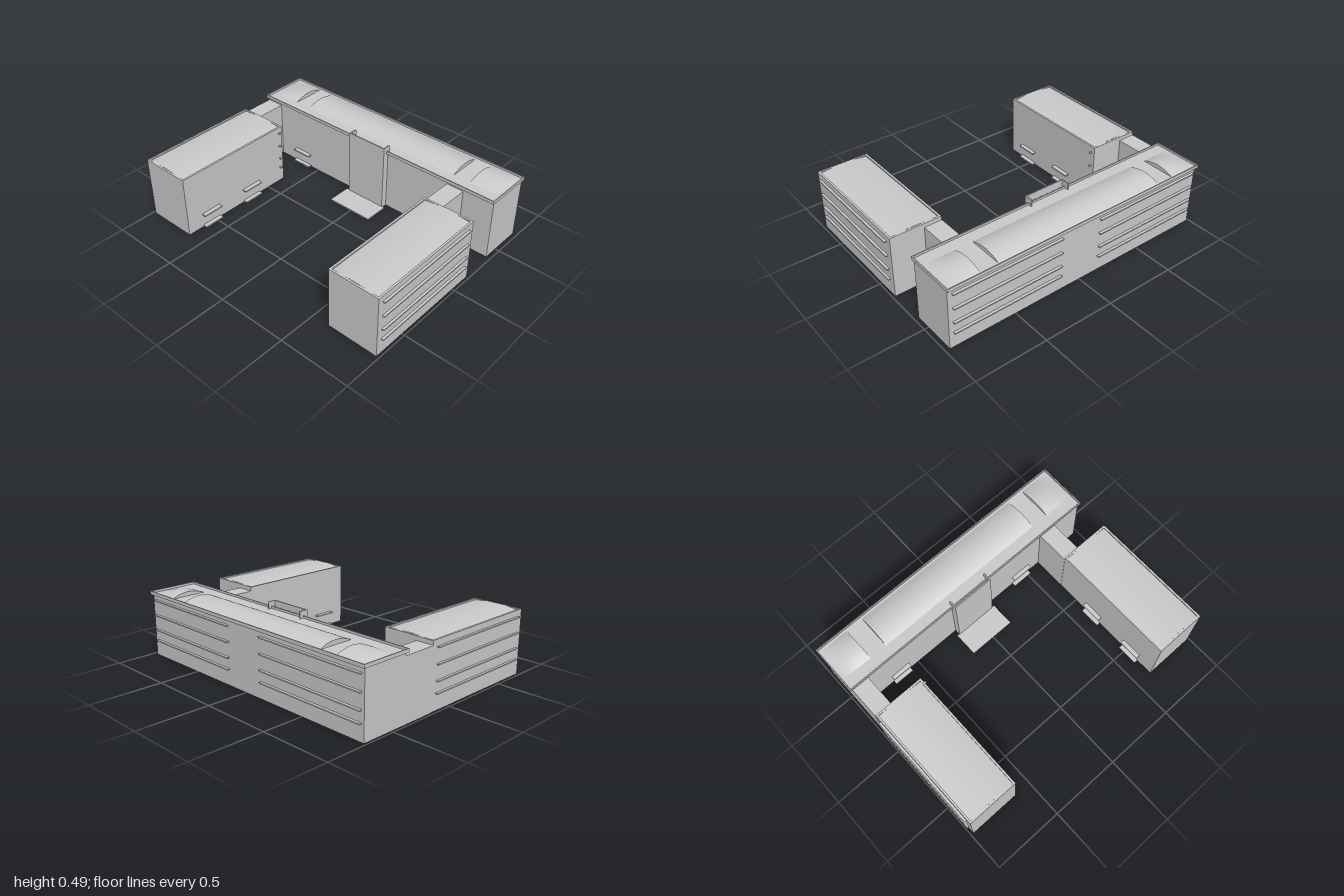
import * as THREE from 'three';

const material = new THREE.MeshStandardMaterial({ color: 0xcccccc, side: THREE.DoubleSide });

function add(parent, name, geometry) {
  const mesh = new THREE.Mesh(geometry, material);
  mesh.name = name;
  parent.add(mesh);
  return mesh;
}

// Box given by its limits on each axis
function block(parent, name, [x0, x1], [y0, y1], [z0, z1]) {
  const geo = new THREE.BoxGeometry(x1 - x0, y1 - y0, z1 - z0);
  geo.translate((x0 + x1) / 2, (y0 + y1) / 2, (z0 + z1) / 2);
  return add(parent, name, geo);
}

// Box without a floor, for the hollow wall blocks
function shell(parent, name, x, height, z) {
  const mesh = block(parent, name, x, [0, height], z);
  const index = Array.from(mesh.geometry.index.array);
  index.splice(18, 6);
  mesh.geometry.setIndex(index);
  mesh.geometry.clearGroups();
}

function rectangle(path, x0, x1, z0, z1) {
  path.moveTo(x0, -z0);
  path.lineTo(x1, -z0);
  path.lineTo(x1, -z1);
  path.lineTo(x0, -z1);
  path.closePath();
  return path;
}

// Flat roof slab with a raised rim around it
function roofTray(parent, [x0, x1], [z0, z1], bottom, floor, top, rim) {
  block(parent, 'roofSlab', [x0 + rim, x1 - rim], [bottom, floor], [z0 + rim, z1 - rim]);
  const shape = rectangle(new THREE.Shape(), x0, x1, z0, z1);
  shape.holes.push(rectangle(new THREE.Path(), x0 + rim, x1 - rim, z0 + rim, z1 - rim));
  const geo = new THREE.ExtrudeGeometry(shape, { depth: top - bottom, bevelEnabled: false });
  geo.rotateX(-Math.PI / 2);
  geo.translate(0, bottom, 0);
  add(parent, 'roofRim', geo);
}

// Flat patch lifted to height(x, z)
function liftedPatch(parent, name, [x0, x1], [z0, z1], nx, nz, height) {
  const geo = new THREE.PlaneGeometry(x1 - x0, z1 - z0, nx, nz);
  geo.rotateX(-Math.PI / 2);
  geo.translate((x0 + x1) / 2, 0, (z0 + z1) / 2);
  const p = geo.attributes.position;
  for (let i = 0; i < p.count; i++) p.setY(i, height(p.getX(i), p.getZ(i)));
  geo.computeVertexNormals();
  return add(parent, name, geo);
}

const railHeights = [0.11, 0.187, 0.29, 0.395];
const ledgeHeights = [0.008, 0.1];

function mainBlock() {
  const g = new THREE.Group();
  g.name = 'mainBlock';
  shell(g, 'mainWalls', [-0.985, 0.97], 0.432, [-0.717, -0.395]);
  roofTray(g, [-0.997, 0.977], [-0.735, -0.38], 0.432, 0.44, 0.455, 0.007);

  // Vaulted roof, split by two notches, with hipped ends
  const z0 = -0.715, z1 = -0.465, base = 0.439, rise = 0.03;
  const arch = z => {
    const t = (z - (z0 + z1) / 2) / ((z1 - z0) / 2);
    return Math.max(0, 1 - t * t);
  };
  const section = new THREE.Shape();
  for (let i = 0; i <= 16; i++) {
    const z = z0 + (z1 - z0) * i / 16;
    if (i) section.lineTo(-z, base + rise * arch(z));
    else section.moveTo(-z, base);
  }
  liftedPatch(g, 'centreVault', [-0.645, 0.62], [z0, z1], 1, 16, (x, z) => base + rise * arch(z));
  for (const x of [-0.77, -0.645, 0.62, 0.745]) {
    const gable = add(g, 'vaultGable', new THREE.ShapeGeometry(section));
    gable.rotation.y = Math.PI / 2;
    gable.position.x = x;
  }
  for (const [outer, inner] of [[-0.985, -0.77], [0.965, 0.745]]) {
    liftedPatch(g, 'hippedVaultEnd', [Math.min(outer, inner), Math.max(outer, inner)], [z0, z1], 10, 16, (x, z) => {
      const t = (x - inner) / (outer - inner);
      return base + rise * arch(z) * (1 - t * t);
    });
  }

  // Rear rails
  for (const y of railHeights)
    for (const x of [[-0.965, -0.145], [0.155, 0.94]])
      block(g, 'rearRail', x, [y - 0.004, y + 0.004], [-0.735, -0.717]);

  // Small ledges on the courtyard side
  for (const y of ledgeHeights)
    for (const x of [[-0.715, -0.57], [0.37, 0.52]])
      block(g, 'courtyardLedge', x, [y - 0.005, y + 0.005], [-0.396, -0.365]);
  return g;
}

function entrance() {
  const g = new THREE.Group();
  g.name = 'entrance';
  block(g, 'entrancePanel', [-0.16, 0.14], [0, 0.487], [-0.358, -0.35]);
  for (const x of [-0.16, 0.132])
    block(g, 'entranceFin', [x, x + 0.008], [0, 0.487], [-0.41, -0.358]);
  block(g, 'entranceStep', [-0.18, 0.16], [0, 0.01], [-0.355, -0.18]);
  return g;
}

// side: +1 for the left wing, -1 for the right wing
function wing(side) {
  const g = new THREE.Group();
  g.name = side > 0 ? 'leftWing' : 'rightWing';
  const span = (a, b) => (side > 0 ? [a, b] : [-b, -a]);
  const x = span(0.622, 0.982), z = [-0.155, 0.732];
  shell(g, 'wingWalls', x, 0.425, z);
  roofTray(g, x, z, 0.425, 0.43, 0.44, 0.014);
  const mid = (x[0] + x[1]) / 2;
  liftedPatch(g, 'wingVault', [x[0] + 0.014, x[1] - 0.014], [z[0] + 0.014, z[1] - 0.014], 14, 1,
    px => 0.431 + 0.011 * (1 - ((px - mid) / 0.166) ** 2));
  for (const y of railHeights)
    block(g, 'wingRail', span(0.98, 0.998), [y - 0.004, y + 0.004], [-0.115, 0.695]);
  for (const y of ledgeHeights)
    for (const z0 of [0.09, 0.46])
      block(g, 'wingLedge', span(0.592, 0.623), [y - 0.005, y + 0.005], [z0, z0 + 0.15]);
  return g;
}

export function createModel() {
  const model = new THREE.Group();
  model.name = 'courtyardBuilding';
  model.add(mainBlock(), entrance(), wing(1), wing(-1));

  // Lower passages joining the wings to the main block
  for (const x of [[-0.985, -0.86], [0.62, 0.745]])
    shell(model, 'passage', x, 0.412, [-0.396, -0.154]);

  // Short rail stubs on the right wing's inner wall
  for (const y of railHeights)
    block(model, 'railStub', [-0.623, -0.606], [y - 0.004, y + 0.004], [-0.135, -0.12]);
  return model;
}
